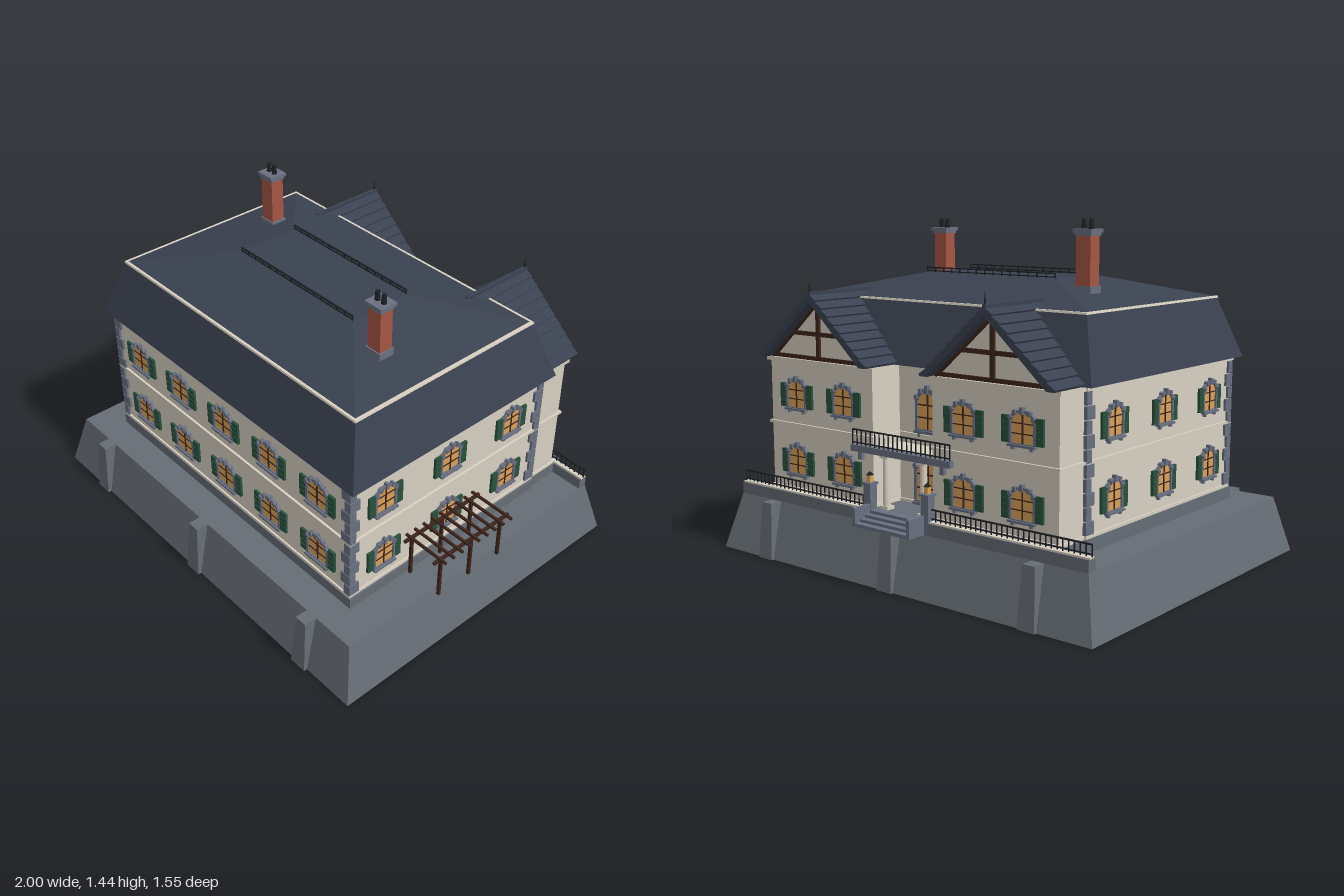
import * as THREE from 'three';

const mat = (name, color) => Object.assign(new THREE.MeshStandardMaterial({ color }), { name });
const M = {
  stone: mat('base stone', 0x666d75),
  trim: mat('dressed stone', 0x6a7080),
  plaster: mat('cream plaster', 0xd8d0c2),
  slate: mat('roof slate', 0x3a4150),
  brick: mat('chimney brick', 0xa55644),
  green: mat('shutter green', 0x28503c),
  glow: mat('lit glass', 0xdca058),
  timber: mat('dark timber', 0x3c241b),
  iron: mat('black iron', 0x1e2126),
};
const CX = -0.02; // centre line of the house

function add(parent, name, geo, m, x = 0, y = 0, z = 0) {
  const mesh = new THREE.Mesh(geo, m);
  mesh.name = name;
  mesh.position.set(x, y, z);
  parent.add(mesh);
  return mesh;
}
// Box given by its minimum and maximum on each axis
function box(parent, name, m, x0, x1, y0, y1, z0, z1) {
  return add(parent, name, new THREE.BoxGeometry(x1 - x0, y1 - y0, z1 - z0), m,
    (x0 + x1) / 2, (y0 + y1) / 2, (z0 + z1) / 2);
}
function group(parent, name) {
  const g = new THREE.Group();
  g.name = name;
  parent.add(g);
  return g;
}
// Closed solid through stacked rectangles [x0, x1, z0, z1, y]
function loft(...rects) {
  const rings = rects.map(([x0, x1, z0, z1, y]) => [[x0, y, z1], [x1, y, z1], [x1, y, z0], [x0, y, z0]]);
  const p = [];
  const quad = (a, b, c, d) => p.push(...a, ...b, ...c, ...a, ...c, ...d);
  for (let r = 0; r + 1 < rings.length; r++)
    for (let i = 0; i < 4; i++) {
      const j = (i + 1) % 4;
      quad(rings[r][i], rings[r][j], rings[r + 1][j], rings[r + 1][i]);
    }
  quad(...rings[rings.length - 1]);
  quad(...rings[0].slice().reverse());
  const g = new THREE.BufferGeometry();
  g.setAttribute('position', new THREE.Float32BufferAttribute(p, 3));
  g.computeVertexNormals();
  return g;
}
const extrude = (shape, depth) =>
  new THREE.ExtrudeGeometry(shape, { depth, bevelEnabled: false, curveSegments: 6 });

function archPath(C, hw, y0, spring, rise) {
  const s = new C();
  s.moveTo(-hw, y0).lineTo(hw, y0).lineTo(hw, spring);
  s.absellipse(0, spring, hw, rise, 0, Math.PI, false);
  return s.lineTo(-hw, y0);
}
const paneGeo = extrude(archPath(THREE.Shape, 0.054, 0, 0.08, 0.034), 0.005);
const frameShape = archPath(THREE.Shape, 0.064, -0.004, 0.08, 0.045);
frameShape.holes.push(archPath(THREE.Path, 0.053, 0.002, 0.08, 0.033));
const frameGeo = extrude(frameShape, 0.012);

// Arched window with surround, sill and shutters, facing +z
function makeWindow(parent, x, y, z, turn = 0, sx = 1, sy = 1, shutters = true) {
  const w = group(parent, 'window');
  w.position.set(x, y, z);
  w.rotation.y = turn;
  w.scale.set(sx, sy, 1);
  add(w, 'pane', paneGeo, M.glow);
  add(w, 'surround', frameGeo, M.trim);
  box(w, 'mullion', M.timber, -0.0025, 0.0025, 0, 0.112, 0.004, 0.009);
  for (const h of [0.037, 0.075]) box(w, 'glazingBar', M.timber, -0.053, 0.053, h - 0.002, h + 0.002, 0.004, 0.008);
  for (let i = -2; i <= 2; i++) {
    const a = i * 0.6;
    const v = add(w, 'voussoir', new THREE.BoxGeometry(0.015, i ? 0.018 : 0.026, 0.018), M.trim,
      Math.sin(a) * 0.06, 0.08 + Math.cos(a) * 0.042, 0.009);
    v.rotation.z = -a * 0.6;
  }
  box(w, 'sill', M.trim, -0.066, 0.066, -0.011, -0.002, 0, 0.02);
  for (const s of [-1, 1]) {
    box(w, 'sillBracket', M.trim, s * 0.045 - 0.006, s * 0.045 + 0.006, -0.022, -0.011, 0, 0.014);
    if (!shutters) continue;
    box(w, 'shutter', M.green, s * 0.08 - 0.02, s * 0.08 + 0.02, 0, 0.1, 0, 0.011);
    for (const h of [0.025, 0.05, 0.075])
      box(w, 'shutterSlat', M.green, s * 0.08 - 0.014, s * 0.08 + 0.014, h - 0.003, h + 0.003, 0.01, 0.014);
  }
}
// Iron railing along x
function railing(parent, x0, x1, y0, y1, z, step) {
  const r = group(parent, 'railing');
  box(r, 'topRail', M.iron, x0, x1, y1 - 0.005, y1, z - 0.004, z + 0.004);
  box(r, 'lowRail', M.iron, x0, x1, y0 + 0.008, y0 + 0.012, z - 0.003, z + 0.003);
  const n = Math.round((x1 - x0) / step);
  for (let i = 0; i <= n; i++) {
    const x = x0 + (x1 - x0) * i / n;
    box(r, 'baluster', M.iron, x - 0.002, x + 0.002, y0, y1, z - 0.002, z + 0.002);
  }
}
function buildBase(g) {
  add(g, 'terraceBase', loft([-1, 0.96, -0.75, 0.76, 0], [-0.94, 0.9, -0.69, 0.7, 0.24]), M.stone);
  for (const x of [-0.72, CX, 0.68]) {
    add(g, 'frontButtress', loft([x - 0.04, x + 0.04, 0.65, 0.775, 0], [x - 0.028, x + 0.028, 0.65, 0.755, 0.24]), M.stone);
    add(g, 'backButtress', loft([x - 0.04, x + 0.04, -0.762, -0.65, 0], [x - 0.028, x + 0.028, -0.745, -0.65, 0.24]), M.stone);
  }
  box(g, 'plinth', M.stone, -0.8, 0.76, 0.24, 0.29, -0.5, 0.57);
  box(g, 'backPlinth', M.stone, -0.79, 0.75, 0.24, 0.29, -0.655, -0.5);
  for (const [a, b] of [[-0.94, -0.19], [0.15, 0.9]]) {
    box(g, 'parapet', M.stone, a, b, 0.24, 0.288, -0.69, -0.65);
    box(g, 'coping', M.plaster, a, b, 0.288, 0.294, -0.684, -0.656);
    railing(g, a, b, 0.294, 0.342, -0.67, 0.025);
  }
}
function buildWalls(g) {
  box(g, 'mainWalls', M.plaster, -0.785, 0.745, 0.29, 0.855, -0.49, 0.56);
  for (const [y0, y1, o] of [[0.29, 0.302, 0.008], [0.568, 0.58, 0.01], [0.838, 0.855, 0.013]]) {
    box(g, 'stringCourse', M.plaster, -0.785 - o, 0.745 + o, y0, y1, -0.49 - o, 0.56 + o);
    for (const s of [-1, 1])
      box(g, 'wingCourse', M.plaster, CX + s * 0.46 - 0.3 - o, CX + s * 0.46 + 0.3 + o, y0, y1, -0.645 - o, -0.5);
  }
  // Alternating corner stones
  for (const [cx, sx] of [[-0.785, 1], [0.745, -1]])
    for (const [cz, sz] of [[0.56, -1], [-0.49, 1]])
      for (let i = 0; i < 10; i++) {
        const y = 0.304 + i * 0.0535, long = i % 2;
        const lx = long ? 0.05 : 0.032, lz = long ? 0.032 : 0.05;
        const q = box(g, 'quoin', M.trim, 0, lx, y, y + 0.049, 0, lz);
        q.position.x = cx + sx * (lx / 2 - 0.01);
        q.position.z = cz + sz * (lz / 2 - 0.01);
      }
  for (const y of [0.365, 0.647]) {
    for (const x of [-0.605, -0.313, CX, 0.273, 0.565]) makeWindow(g, x, y, 0.56);
    for (const z of [0.386, 0.037, -0.315]) {
      makeWindow(g, 0.745, y, z, Math.PI / 2, 0.87);
      makeWindow(g, -0.785, y, z, -Math.PI / 2, 0.87);
    }
    for (const s of [-1, 1]) for (const d of [-0.14, 0.14])
      makeWindow(g, CX + s * 0.46 + d, y, -0.645, Math.PI, 0.95);
  }
}
function buildRoof(g) {
  add(g, 'mainRoof', loft([-0.83, 0.79, -0.525, 0.59, 0.855], [-0.745, 0.705, -0.44, 0.505, 1.11],
    [-0.365, 0.327, -0.11, 0.175, 1.2]), M.slate);
  add(g, 'roofTrim', loft([-0.751, 0.711, -0.446, 0.511, 1.104], [-0.749, 0.709, -0.444, 0.509, 1.112]), M.plaster);
  for (const z of [-0.11, 0.175]) railing(g, -0.36, 0.325, 1.195, 1.222, z, 0.045);
  for (const [x, z, top] of [[-0.53, -0.13, 1.4], [0.5, 0.198, 1.382]]) {
    const c = group(g, 'chimney');
    const block = (n, m, r, a, b) => box(c, n, m, x - r, x + r, a, b, z - r * 0.9, z + r * 0.9);
    block('chimneyFoot', M.trim, 0.04, 1.1, 1.18);
    block('chimneyStack', M.brick, 0.034, 1.15, top - 0.02);
    block('chimneyCapLower', M.trim, 0.039, top - 0.026, top - 0.014);
    block('chimneyCap', M.trim, 0.045, top - 0.014, top);
    for (const d of [-0.017, 0.017])
      add(c, 'chimneyPot', new THREE.CylinderGeometry(0.009, 0.012, 0.045, 10), M.iron, x + d, top + 0.016, z);
  }
}
function buildWing(g, cx) {
  const w = group(g, 'backWing'), hw = 0.315, h = 0.275, y0 = 0.857, n = 9;
  w.position.x = cx;
  box(w, 'wingWalls', M.plaster, -0.3, 0.3, 0.29, y0, -0.645, -0.45);
  // Stepped slate courses as one saw-tooth section
  const right = [[hw - 0.035, 0], [hw, 0]];
  for (let i = 0; i < n; i++) {
    const a = i / n, b = (i + 1) / n;
    right.push([hw * (1 - a) + 0.004, h * a + 0.009], [Math.max(hw * (1 - b), 0), h * b + 0.003]);
  }
  const pts = [[0, h - 0.03], ...right, ...right.slice(0, -1).reverse().map(([x, y]) => [-x, y])];
  add(w, 'gableRoof', extrude(new THREE.Shape(pts.map(p => new THREE.Vector2(...p))), 0.37), M.slate, 0, y0, -0.7);
  const tri = new THREE.Shape([[-0.295, 0], [0.295, 0], [0, 0.258]].map(p => new THREE.Vector2(...p)));
  add(w, 'gableWall', extrude(tri, 0.02), M.plaster, 0, y0, -0.645);
  // Timber framing on the gable
  const z0 = -0.656, z1 = -0.64;
  box(w, 'tieBeam', M.timber, -0.28, 0.28, 0.857, 0.873, z0, z1);
  box(w, 'collarBeam', M.timber, -0.165, 0.165, 0.957, 0.974, z0, z1);
  box(w, 'kingPost', M.timber, -0.009, 0.009, 0.86, 1.1, z0, z1);
  for (const s of [-1, 1]) {
    const r = add(w, 'rafter', new THREE.BoxGeometry(0.37, 0.018, 0.016), M.timber, s * 0.14, 0.978, -0.648);
    r.rotation.z = -s * Math.atan2(h, hw);
  }
  box(w, 'ridgeCap', M.slate, -0.008, 0.008, 1.128, 1.143, -0.7, -0.34);
  add(w, 'finial', new THREE.ConeGeometry(0.006, 0.07, 8), M.iron, 0, 1.163, -0.692);
}
function buildEntrance(g) {
  const e = group(g, 'entrance');
  e.position.x = CX;
  makeWindow(e, 0, 0.305, -0.49, Math.PI, 1.15, 1.5, false);
  makeWindow(e, 0, 0.6, -0.49, Math.PI, 1, 1.35, false);
  box(e, 'balconyFloor', M.plaster, -0.17, 0.17, 0.515, 0.535, -0.645, -0.48);
  box(e, 'balconyEdge', M.trim, -0.265, 0.265, 0.512, 0.538, -0.668, -0.625);
  railing(e, -0.26, 0.26, 0.538, 0.603, -0.66, 0.025);
  for (const s of [-1, 1]) {
    box(e, 'balconyBracket', M.trim, s * 0.22 - 0.01, s * 0.22 + 0.01, 0.48, 0.512, -0.662, -0.64);
    add(e, 'column', new THREE.CylinderGeometry(0.013, 0.016, 0.2, 14), M.plaster, s * 0.1, 0.4, -0.632);
    for (const y of [0.296, 0.506]) box(e, 'columnBlock', M.plaster, s * 0.1 - 0.02, s * 0.1 + 0.02, y - 0.008, y + 0.008, -0.65, -0.612);
    // Gate pier with lantern
    const x = s * 0.155;
    box(e, 'pier', M.trim, x - 0.019, x + 0.019, 0.24, 0.39, -0.69, -0.652);
    box(e, 'pierCap', M.trim, x - 0.024, x + 0.024, 0.39, 0.4, -0.695, -0.647);
    box(e, 'lantern', M.glow, x - 0.01, x + 0.01, 0.4, 0.428, -0.681, -0.661);
    add(e, 'lanternCap', new THREE.ConeGeometry(0.017, 0.016, 4), M.iron, x, 0.436, -0.671).rotation.y = Math.PI / 4;
    box(e, 'stairCheek', M.trim, s * 0.145 - 0.008, s * 0.145 + 0.008, 0.24, 0.315, -0.775, -0.68);
  }
  for (let i = 0; i < 4; i++)
    box(e, 'step', M.trim, -0.14, 0.14, 0.24, 0.29 - i * 0.012, -0.691 - i * 0.028, i ? -0.663 - i * 0.028 : -0.65);
}
function buildPergola(g) {
  const p = group(g, 'pergola');
  for (const x of [0.806, 0.963]) {
    for (const z of [0.29, 0.122, -0.045]) box(p, 'pergolaPost', M.timber, x - 0.006, x + 0.006, 0.29, 0.475, z - 0.006, z + 0.006);
    box(p, 'pergolaBeam', M.timber, x - 0.006, x + 0.006, 0.474, 0.485, -0.09, 0.33);
  }
  for (let i = 0; i < 9; i++) {
    const z = -0.07 + i * 0.0463;
    box(p, 'pergolaSlat', M.timber, 0.785, 1, 0.484, 0.493, z - 0.005, z + 0.005);
  }
}

export function createModel() {
  const g = new THREE.Group();
  g.name = 'manorHouse';
  buildBase(g);
  buildWalls(g);
  buildRoof(g);
  for (const s of [-1, 1]) buildWing(g, CX + s * 0.46);
  buildEntrance(g);
  buildPergola(g);
  return g;
}
